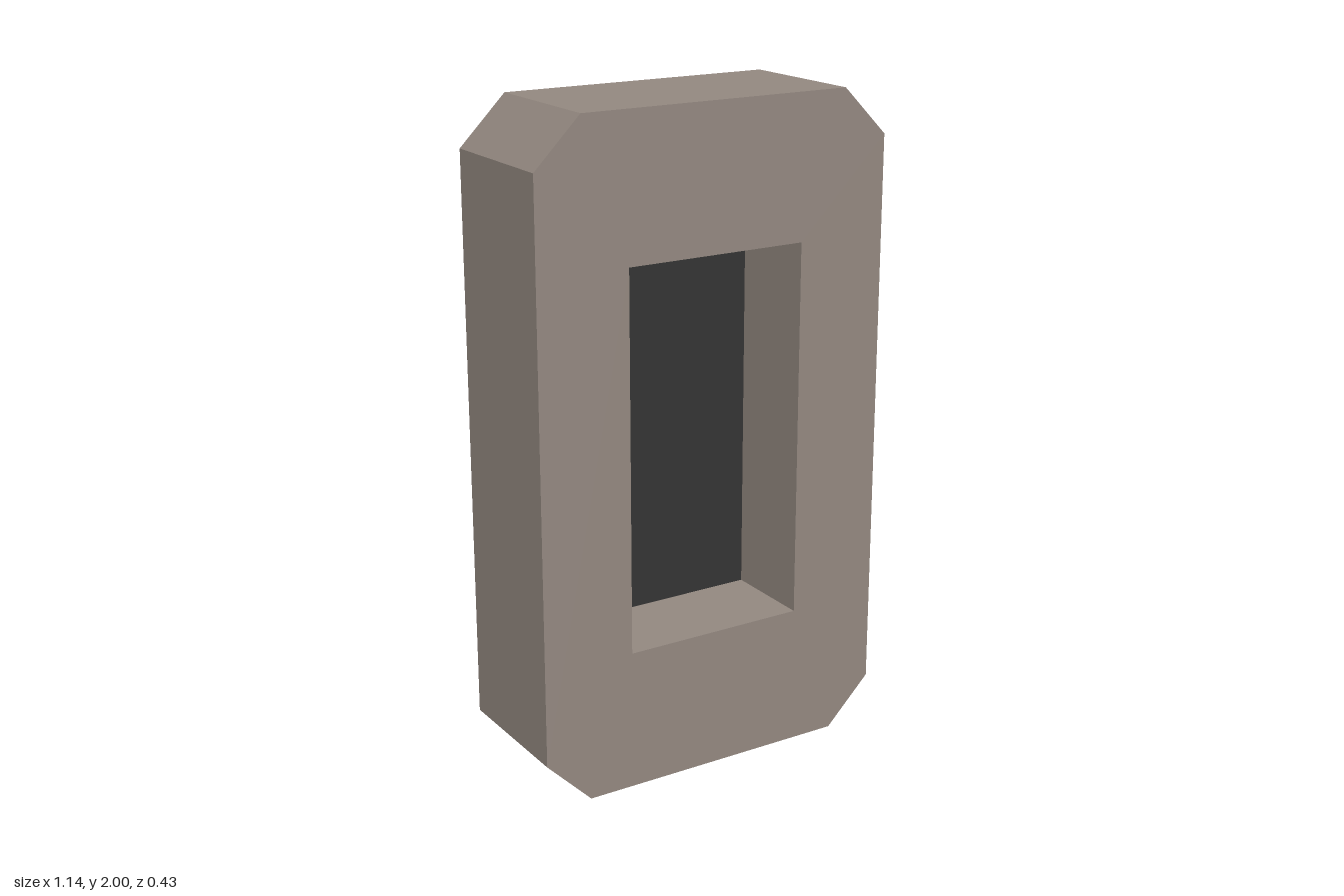
import * as THREE from 'three';

const U = 1 / 7; // design unit: the frame is 8 x 14 x 3 units

export function createModel() {
  const group = new THREE.Group();
  const stone = new THREE.MeshStandardMaterial({ color: 0x92877f });
  stone.name = 'warm grey stone';
  const dark = new THREE.MeshStandardMaterial({ color: 0x333333 });
  dark.name = 'dark panel';

  // Frame: chamfered slab with a rectangular opening
  const outline = new THREE.Shape([
    [-3, 0], [3, 0], [4, 1], [4, 13], [3, 14], [-3, 14], [-4, 13], [-4, 1],
  ].map(([x, y]) => new THREE.Vector2(x * U, y * U)));
  outline.holes.push(new THREE.Path([
    [-2, 3], [-2, 11], [2, 11], [2, 3],
  ].map(([x, y]) => new THREE.Vector2(x * U, y * U))));
  const frameGeometry = new THREE.ExtrudeGeometry(outline, { depth: 3 * U, bevelEnabled: false });
  frameGeometry.translate(0, 0, -1.5 * U);
  const frame = new THREE.Mesh(frameGeometry, stone);
  frame.name = 'frame';
  group.add(frame);

  // Panel: fills the rear of the opening, flush with the back
  const panel = new THREE.Mesh(new THREE.BoxGeometry(4 * U, 8 * U, U), dark);
  panel.name = 'backPanel';
  panel.position.set(0, 7 * U, -U);
  group.add(panel);

  return group;
}
